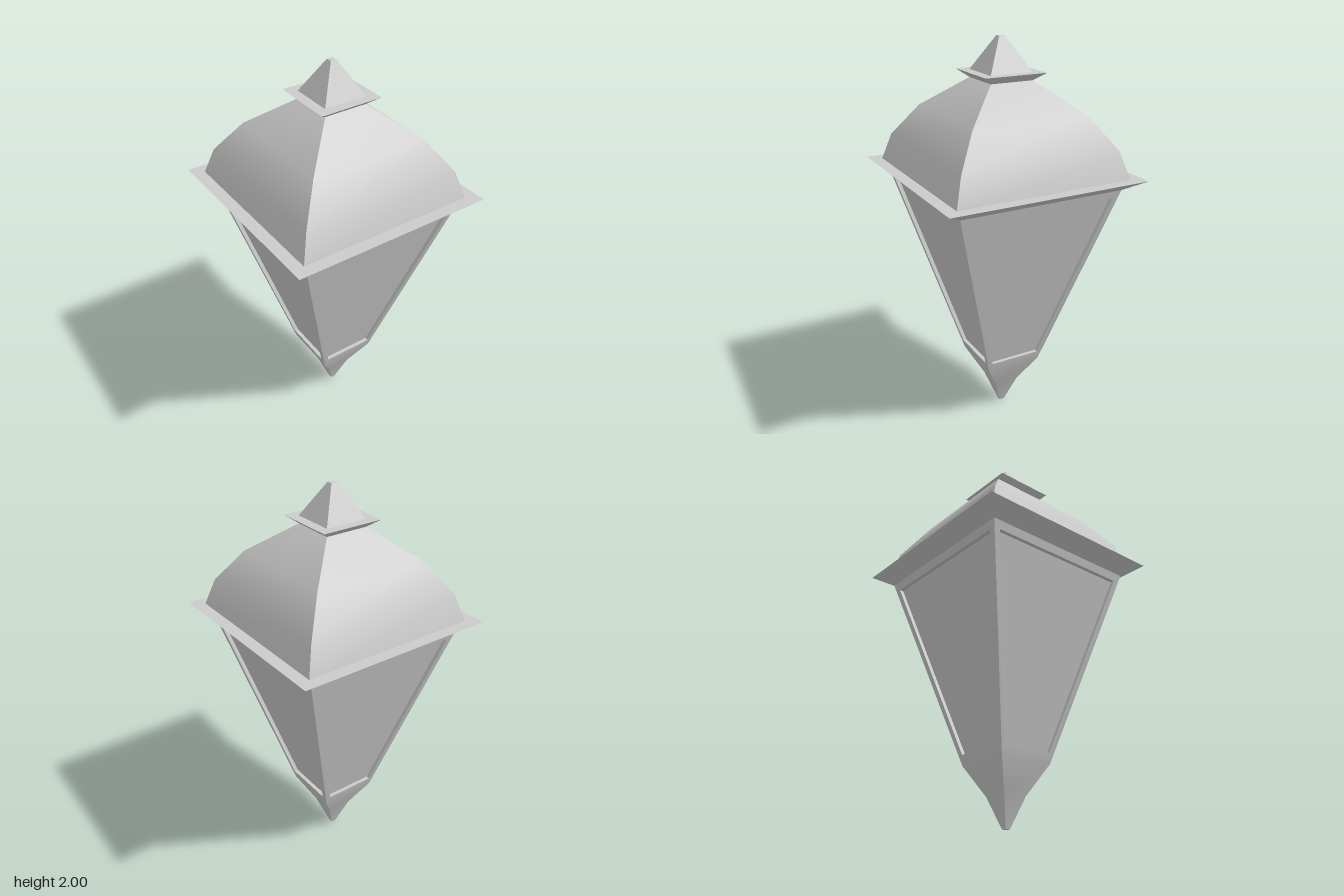
import * as THREE from 'three';
import { toCreasedNormals } from 'three/addons/utils/BufferGeometryUtils.js';

const grey = new THREE.MeshStandardMaterial({ color: 0xcccccc });

// Repeats the front side's quads on all four sides; smooths only gentle bends
function fourSided(name, quads) {
  const pos = [];
  for (let k = 0; k < 4; k++) {
    const c = [1, 0, -1, 0][k], s = [0, 1, 0, -1][k];
    for (const q of quads) {
      for (const i of [0, 1, 2, 0, 2, 3]) {
        const [x, y, z] = q[i];
        pos.push(c * x + s * z, y, -s * x + c * z);
      }
    }
  }
  const geo = new THREE.BufferGeometry();
  geo.setAttribute('position', new THREE.Float32BufferAttribute(pos, 3));
  const mesh = new THREE.Mesh(toCreasedNormals(geo, 0.55), grey);
  mesh.name = name;
  return mesh;
}

// Front-side quads of a square section following [halfWidth, y] upwards
function loft(profile) {
  const quads = [];
  for (let i = 0; i + 1 < profile.length; i++) {
    const [a, y] = profile[i], [b, v] = profile[i + 1];
    quads.push([[-a, y, a], [a, y, a], [b, v, b], [-b, v, b]]);
  }
  return quads;
}

// Quads bridging an outer loop of four corners to an inner one
function ring(outer, inner) {
  return outer.map((p, i) => {
    const j = (i + 1) % 4;
    return [p, outer[j], inner[j], inner[i]];
  });
}

export function createModel() {
  const group = new THREE.Group();
  group.name = 'lantern';

  // Tapered body: half width at a height, and a four-cornered loop on its face
  const low = [0.148, 0.3], high = [0.428, 1.3];
  const halfAt = (y) => low[0] + (high[0] - low[0]) * (y - low[1]) / (high[1] - low[1]);
  const loop = (y0, w0, y1, w1, depth) => {
    const z0 = halfAt(y0) - depth, z1 = halfAt(y1) - depth;
    return [[-w0, y0, z0], [w0, y0, z0], [w1, y1, z1], [-w1, y1, z1]];
  };
  const outer = loop(low[1], low[0], high[1], high[0], 0);
  const opening = loop(0.35, 0.134, 1.26, 0.385, 0);
  const recessed = loop(0.35, 0.134, 1.26, 0.385, 0.02);

  // Pointed foot with the window frames and their reveals
  const foot = loft([[0, 0], [0.013, 0], [0.066, 0.15], low]);
  group.add(fourSided('footAndFrame', [...foot, ...ring(outer, opening), ...ring(opening, recessed)]));

  // Recessed panes
  group.add(fourSided('panes', [recessed]));

  // Flared eave, domed roof, collar and finial
  group.add(fourSided('eave', loft([high, [0.517, 1.355], [0.455, 1.355]])));
  group.add(fourSided('roof', loft([[0.455, 1.355], [0.413, 1.49], [0.3, 1.65], [0.11, 1.8]])));
  group.add(fourSided('collar', loft([[0.11, 1.8], [0.16, 1.838], [0.11, 1.838]])));
  group.add(fourSided('finial', loft([[0.11, 1.838], [0.015, 2], [0, 2]])));

  return group;
}
